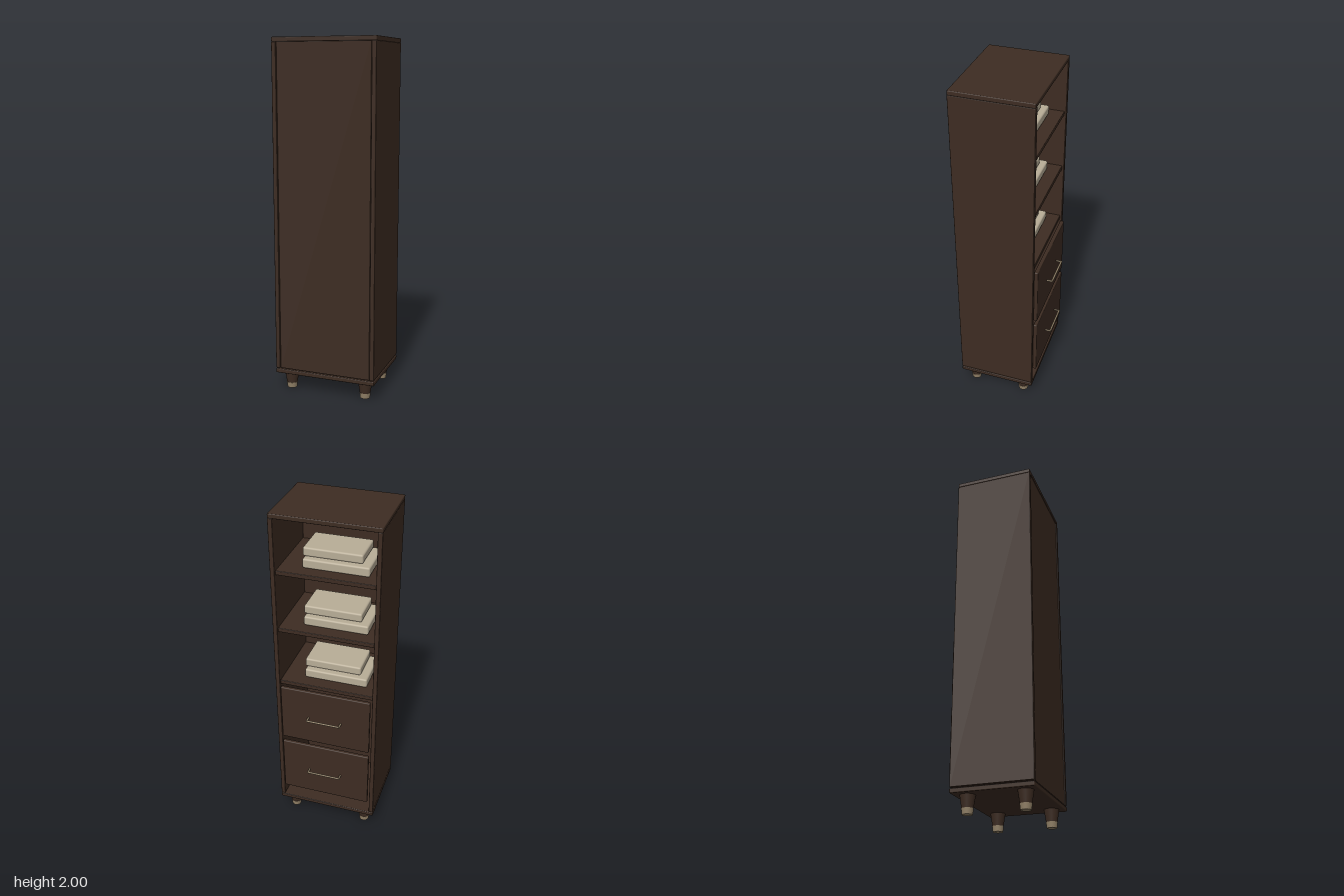
import * as THREE from 'three';
import { RoundedBoxGeometry } from 'three/addons/geometries/RoundedBoxGeometry.js';

export function createModel() {
  const model = new THREE.Group();
  model.name = 'shelfCabinet';

  const mat = (name, color) => {
    const m = new THREE.MeshStandardMaterial({ color });
    m.name = name;
    return m;
  };
  const wood = mat('dark walnut', 0x3d2c22);
  const brass = mat('aged brass', 0x938268);
  const linen = mat('pale linen', 0xb8ad97);

  const add = (name, geometry, material, x = 0, y = 0, z = 0) => {
    const mesh = new THREE.Mesh(geometry, material);
    mesh.name = name;
    mesh.position.set(x, y, z);
    model.add(mesh);
    return mesh;
  };
  // Softly rounded block given by its limits on each axis
  const block = (name, material, [x0, x1], [y0, y1], [z0, z1], r = 0.005) =>
    add(name, new RoundedBoxGeometry(x1 - x0, y1 - y0, z1 - z0, 3, r), material,
      (x0 + x1) / 2, (y0 + y1) / 2, (z0 + z1) / 2);

  // Carcass: top and bottom boards, side panels and closed panel
  const W = 0.297, Z = [-0.198, 0.253];
  block('topBoard', wood, [-W, W], [1.974, 2], Z);
  block('bottomBoard', wood, [-W, W], [0.1, 0.125], Z);
  block('leftSide', wood, [0.271, W], [0.13, 1.975], Z, 0.004);
  block('rightSide', wood, [-W, -0.271], [0.13, 1.975], Z, 0.004);
  block('closedPanel', wood, [-0.269, 0.269], [0.13, 1.975], [0.236, 0.249], 0.003);

  // Shelves, each with two stacked folded cloths
  for (const top of [0.995, 1.34, 1.685]) {
    block('shelf', wood, [-0.271, 0.271], [top - 0.025, top], [-0.188, 0.237], 0.004);
    block('lowerCloth', linen, [-0.215, 0.148], [top, top + 0.053], [-0.117, 0.133], 0.01);
    block('upperCloth', linen, [-0.17, 0.156], [top + 0.053, top + 0.103], [-0.085, 0.12], 0.01);
  }

  // Drawer fronts with bar handles
  for (const y of [0.3975, 0.7875]) {
    block('drawerFront', wood, [-0.263, 0.263], [y - 0.177, y + 0.177], [-0.215, -0.192], 0.006);
    const bar = add('handleBar', new THREE.CylinderGeometry(0.006, 0.006, 0.192, 12), brass, 0, y, -0.251);
    bar.rotation.z = Math.PI / 2;
    for (const x of [-0.096, 0.096]) {
      const post = add('handlePost', new THREE.CylinderGeometry(0.0055, 0.0055, 0.032, 12), brass, x, y, -0.236);
      post.rotation.x = Math.PI / 2;
    }
  }

  // Tapered legs with metal feet
  for (const x of [-0.225, 0.225]) {
    for (const z of [-0.125, 0.185]) {
      add('leg', new THREE.CylinderGeometry(0.042, 0.031, 0.07, 24), wood, x, 0.067, z);
      add('foot', new THREE.CylinderGeometry(0.032, 0.028, 0.032, 24), brass, x, 0.016, z);
    }
  }
  return model;
}
